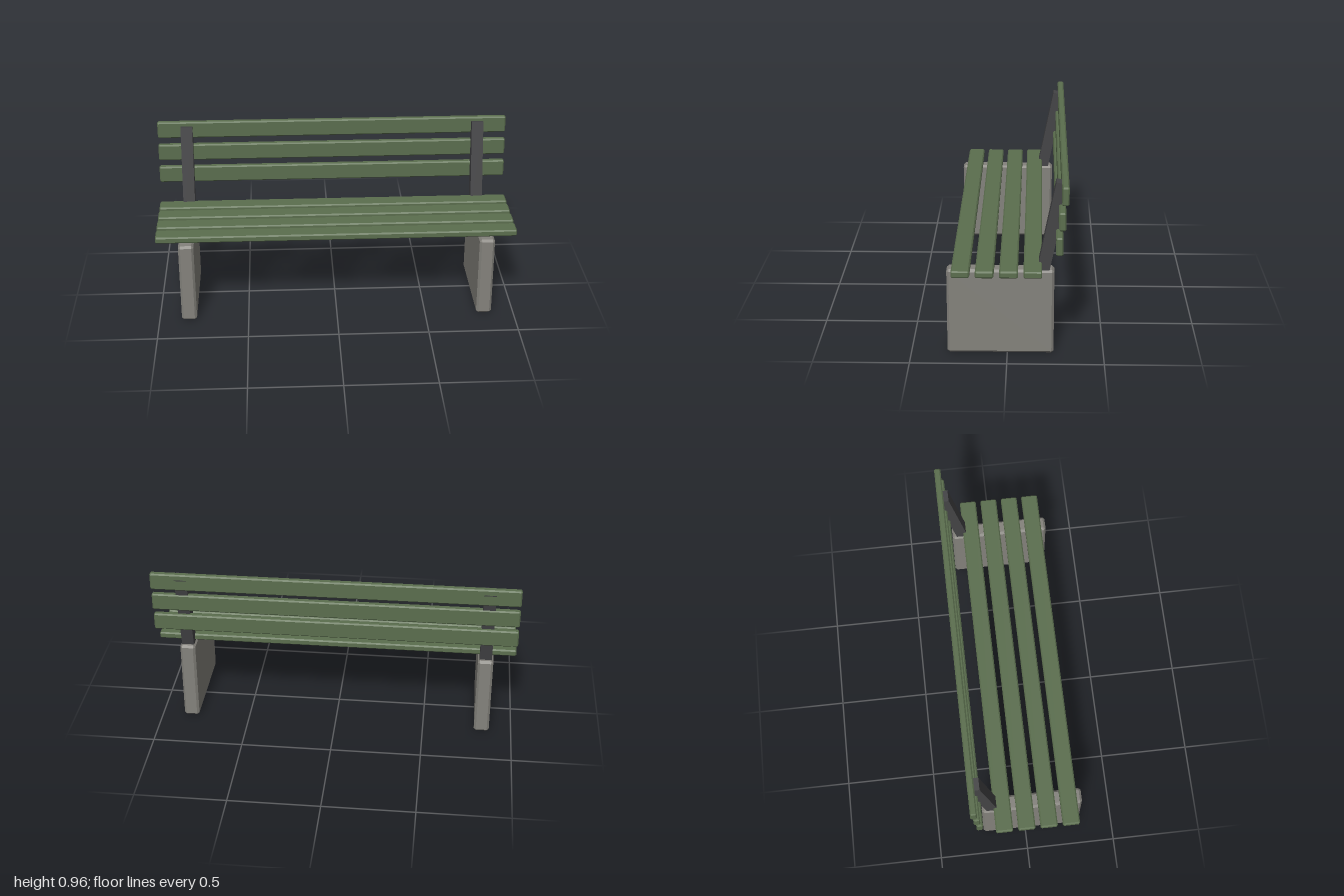
import * as THREE from 'three';
import { ConvexGeometry } from 'three/addons/geometries/ConvexGeometry.js';

// Box with flat chamfers on every edge
function chamferBox(w, h, d, c) {
  const pts = [];
  for (const sx of [-1, 1]) for (const sy of [-1, 1]) for (const sz of [-1, 1]) {
    const x = sx * w / 2, y = sy * h / 2, z = sz * d / 2;
    pts.push(
      new THREE.Vector3(x, y - sy * c, z - sz * c),
      new THREE.Vector3(x - sx * c, y, z - sz * c),
      new THREE.Vector3(x - sx * c, y - sy * c, z));
  }
  return new ConvexGeometry(pts);
}

export function createModel() {
  const bench = new THREE.Group();
  bench.name = 'bench';

  const wood = new THREE.MeshStandardMaterial({ color: 0x5b6e4e });
  wood.name = 'green wood';
  const concrete = new THREE.MeshStandardMaterial({ color: 0x84827c });
  concrete.name = 'grey concrete';
  const metal = new THREE.MeshStandardMaterial({ color: 0x444446 });
  metal.name = 'dark metal';

  const add = (name, geometry, material, x, y, z) => {
    const mesh = new THREE.Mesh(geometry, material);
    mesh.name = name;
    mesh.position.set(x, y, z);
    bench.add(mesh);
  };

  // Seat: four flat slats
  const seatSlat = chamferBox(2, 0.037, 0.094, 0.007);
  [0.235, 0.113, -0.009, -0.131].forEach((z, i) =>
    add(`seatSlat${i + 1}`, seatSlat, wood, 0, 0.492, z));

  // Backrest: three upright slats stepping back as they rise
  const backSlat = chamferBox(2, 0.096, 0.036, 0.007);
  [[0.645, -0.264], [0.777, -0.277], [0.91, -0.291]].forEach(([y, z], i) =>
    add(`backSlat${i + 1}`, backSlat, wood, 0, y, z));

  // Leaning post profile, drawn with z along the shape's x axis
  const postWidth = 0.067;
  const profile = new THREE.Shape([
    [-0.149, 0.45], [-0.246, 0.94], [-0.31, 0.927], [-0.213, 0.45],
  ].map(([z, y]) => new THREE.Vector2(-z, y)));
  const post = new THREE.ExtrudeGeometry(profile, { depth: postWidth, bevelEnabled: false });
  post.translate(0, 0, -postWidth / 2);
  post.rotateY(Math.PI / 2);

  // Concrete supports and posts on both sides
  const support = chamferBox(0.085, 0.467, 0.553, 0.012);
  for (const [side, s] of [['left', 1], ['right', -1]]) {
    add(`${side}Support`, support, concrete, s * 0.833, 0.2335, 0.0355);
    add(`${side}BackPost`, post, metal, s * 0.833, 0, 0);
  }
  return bench;
}
